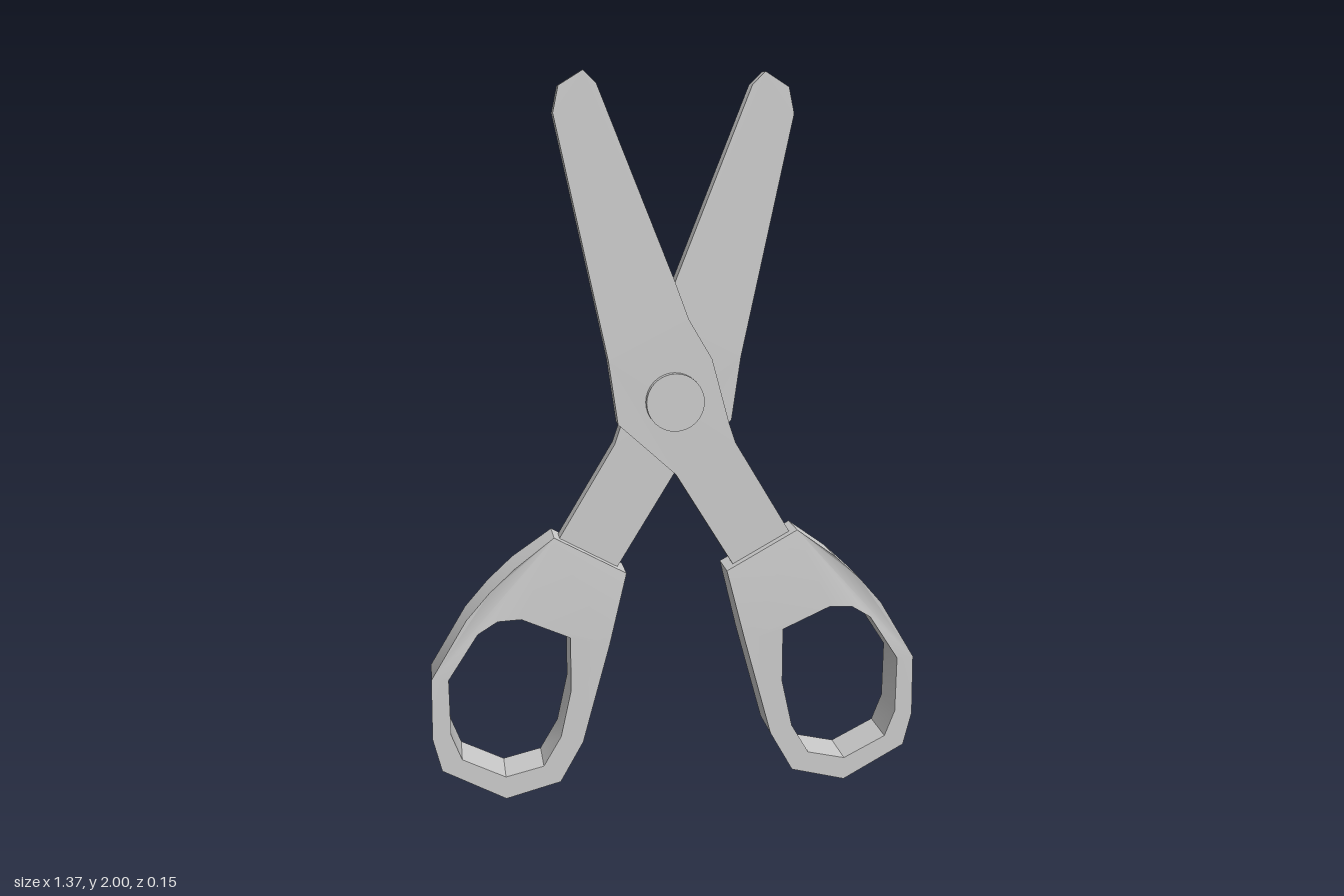
import * as THREE from 'three';
import { toCreasedNormals } from 'three/addons/utils/BufferGeometryUtils.js';

const points = (list) => list.map(([x, y]) => new THREE.Vector2(x, y));
const material = new THREE.MeshStandardMaterial({ color: 0xcccccc });

// Flat plate cut from an outline, centred on the given depth
function plate(outline, hole, thickness, z) {
  const shape = new THREE.Shape(points(outline));
  if (hole) shape.holes.push(new THREE.Path(points(hole)));
  const geometry = new THREE.ExtrudeGeometry(shape, { depth: thickness, bevelEnabled: false });
  return geometry.translate(0, 0, z - thickness / 2);
}

function part(name, geometry) {
  const mesh = new THREE.Mesh(toCreasedNormals(geometry, 0.6), material);
  mesh.name = name;
  return mesh;
}

// Blade with its shank running down into the handle
const BLADE = [
  [-0.245, 2.0], [-0.31, 1.96], [-0.325, 1.89], [-0.185, 1.235], [-0.16, 1.06],
  [0, 0.915], [0.16, 0.655], [0.2, 0.585], [0.36, 0.675], [0.32, 0.745],
  [0.167, 1.0], [0.15, 1.05], [0.1, 1.235], [0.035, 1.345], [0, 1.44], [-0.21, 1.965],
];
const GRIP = [
  [0.14, 0.64], [0.19, 0.44], [0.268, 0.155], [0.333, 0.04], [0.487, 0], [0.663, 0.095],
  [0.687, 0.19], [0.685, 0.363], [0.585, 0.53], [0.52, 0.605], [0.45, 0.67], [0.34, 0.75],
];
const FINGER_HOLE = [
  [0.3, 0.465], [0.435, 0.525], [0.5, 0.522], [0.555, 0.488], [0.638, 0.36], [0.636, 0.2],
  [0.607, 0.125], [0.487, 0.065], [0.38, 0.09], [0.33, 0.175], [0.3, 0.31],
];

function half(name) {
  const group = new THREE.Group();
  group.name = name;
  group.add(part('blade', plate(BLADE, null, 0.05, 0.0125)));

  // Handle, thinned at the end where the shank enters
  const center = 0.011;
  const geometry = plate(GRIP, FINGER_HOLE, 0.132, center);
  const pos = geometry.attributes.position;
  const ends = [GRIP[0], GRIP[GRIP.length - 1]];
  for (let i = 0; i < pos.count; i++) {
    const atEnd = ends.some(([x, y]) => Math.hypot(pos.getX(i) - x, pos.getY(i) - y) < 1e-3);
    if (atEnd) pos.setZ(i, center + (pos.getZ(i) - center) * 0.8);
  }
  group.add(part('handle', geometry));
  return group;
}

export function createModel() {
  const model = new THREE.Group();
  model.name = 'scissors';

  // The back half is the front half turned around
  const back = half('backHalf');
  back.rotation.y = Math.PI;
  model.add(half('frontHalf'), back);

  // Pivot pin through both halves
  const pin = new THREE.CylinderGeometry(0.08, 0.08, 0.116, 32);
  pin.rotateX(Math.PI / 2).translate(-0.004, 1.12, 0);
  model.add(part('pivotPin', pin));
  return model;
}
